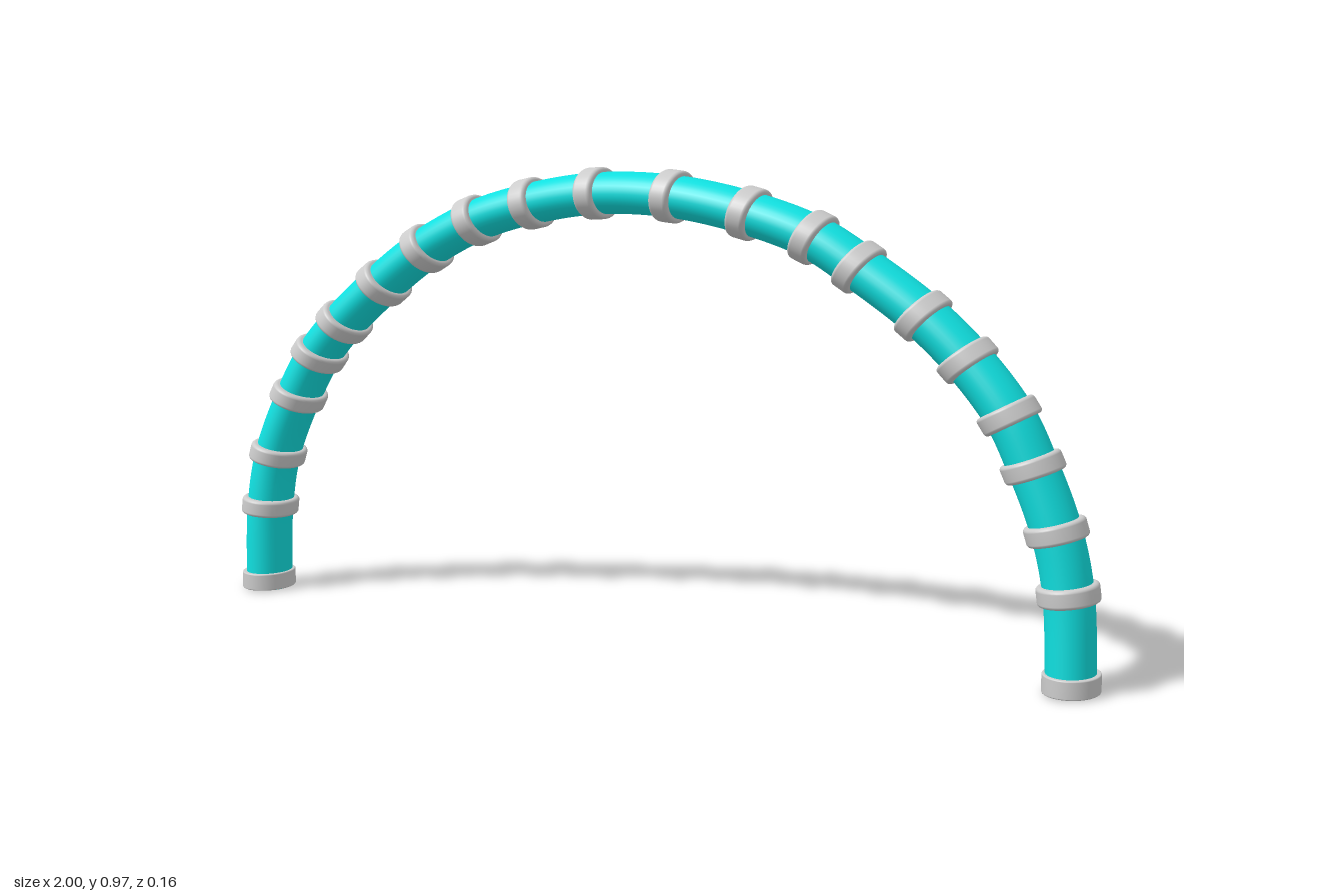
import * as THREE from 'three';

// Joint centres from the outer foot to the crown: [x, y, z]
const RIGHT_SIDE = [
  [-0.943, 0, 0], [-0.934, 0.19, 0], [-0.912, 0.31, -0.004], [-0.853, 0.445, -0.007],
  [-0.794, 0.543, -0.009], [-0.725, 0.618, -0.008], [-0.618, 0.709, -0.008],
  [-0.505, 0.789, -0.008], [-0.377, 0.853, -0.008], [-0.24, 0.893, -0.007], [-0.083, 0.918, -0.003],
];
const LEFT_SIDE = [
  [0.943, 0, 0], [0.932, 0.19, 0], [0.906, 0.308, 0.003], [0.858, 0.428, 0.006],
  [0.81, 0.523, 0.009], [0.725, 0.623, 0.008], [0.634, 0.703, 0.008],
  [0.5, 0.791, 0.007], [0.404, 0.845, 0.007], [0.265, 0.888, 0.006], [0.094, 0.917, 0.004],
];

// The whole arch is squashed in height and widened in depth
const SCALE = new THREE.Vector3(1, 0.9, 1.2);
const UP = new THREE.Vector3(0, 1, 0);

// Solid collar with slightly rounded rims
function collarGeometry(radius, width, bevel) {
  const h = width / 2;
  const profile = [new THREE.Vector2(0, -h), new THREE.Vector2(radius - bevel, -h)];
  for (const side of [-1, 1]) {
    for (let i = 0; i <= 4; i++) {
      const a = side < 0 ? -Math.PI / 2 + (i * Math.PI) / 8 : (i * Math.PI) / 8;
      profile.push(new THREE.Vector2(
        radius - bevel + Math.cos(a) * bevel,
        side * (h - bevel) + Math.sin(a) * bevel));
    }
  }
  profile.push(new THREE.Vector2(0, h));
  // Drop the repeated corner where cap and rim meet
  profile.splice(1, 1);
  return new THREE.LatheGeometry(profile, 40);
}

export function createModel() {
  const model = new THREE.Group();
  model.name = 'segmentedArch';
  const arch = new THREE.Group();
  arch.name = 'arch';
  arch.scale.copy(SCALE);
  model.add(arch);

  const grey = new THREE.MeshStandardMaterial({ color: 0xcccccc });
  const cyan = new THREE.MeshStandardMaterial({ color: 0x10e0e0 });

  const joints = [...RIGHT_SIDE, ...LEFT_SIDE.slice().reverse()]
    .map((p) => new THREE.Vector3(...p).divide(SCALE));
  const path = new THREE.CatmullRomCurve3(joints);
  const last = joints.length - 1;

  // Bent tube running through all collars
  const tube = new THREE.Mesh(new THREE.TubeGeometry(path, 210, 0.048, 32), cyan);
  tube.name = 'tube';
  arch.add(tube);

  // Collars across the tube, with flat feet at both ends
  const ring = collarGeometry(0.0595, 0.042, 0.008);
  const foot = collarGeometry(0.0555, 0.042, 0.003);
  joints.forEach((p, i) => {
    const isFoot = i === 0 || i === last;
    const collar = new THREE.Mesh(isFoot ? foot : ring, grey);
    collar.name = isFoot ? 'footCollar' : 'collar';
    collar.position.copy(p);
    if (isFoot) collar.position.y += 0.021;
    else collar.quaternion.setFromUnitVectors(UP, path.getTangent(i / last));
    arch.add(collar);
  });

  return model;
}
